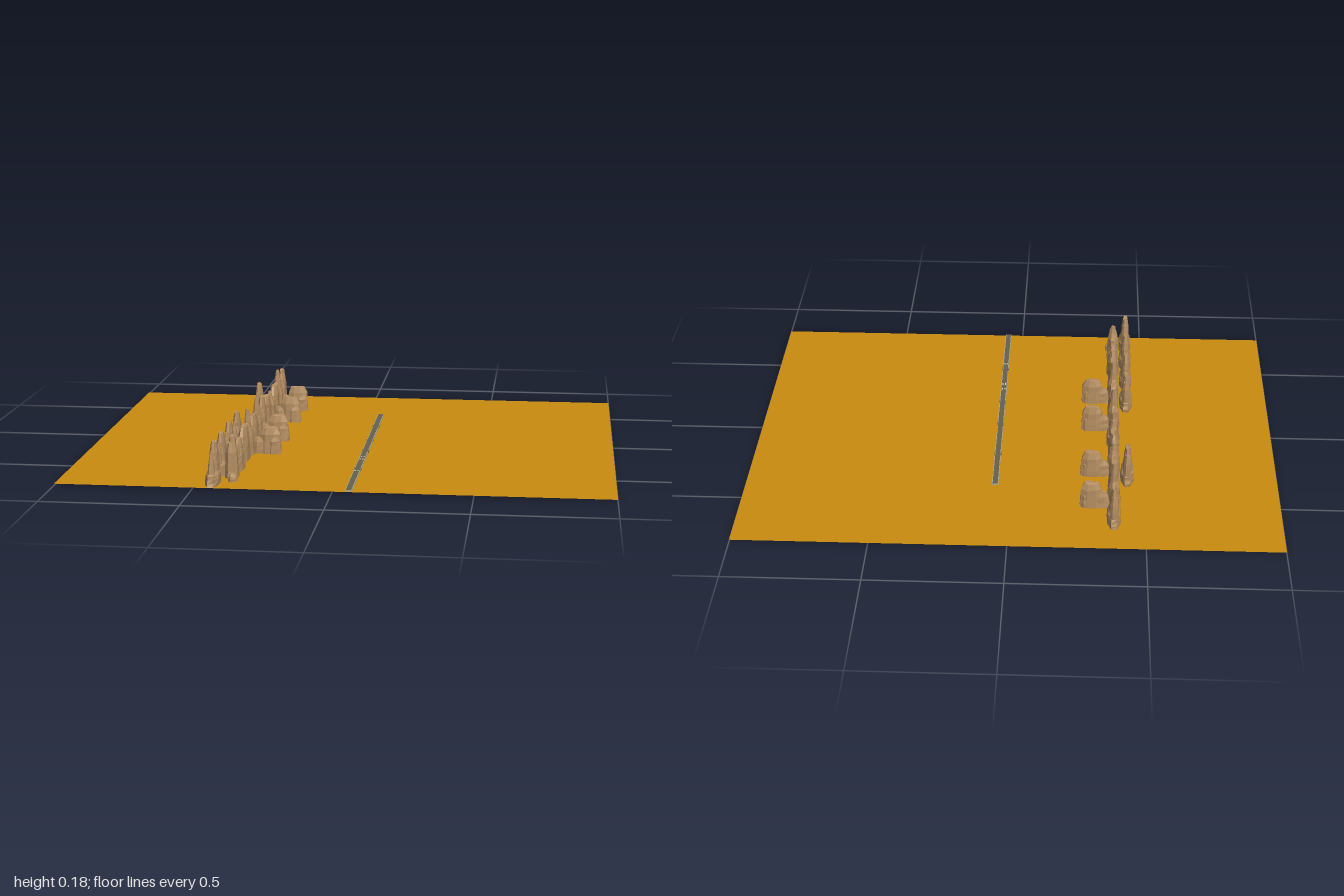
import * as THREE from 'three';

const sand = new THREE.MeshStandardMaterial({ color: 0xc98c10, side: THREE.DoubleSide });
const stone = new THREE.MeshStandardMaterial({ color: 0xb48e62, flatShading: true });
const paleConcrete = new THREE.MeshStandardMaterial({ color: 0xa9b29c });
const asphalt = new THREE.MeshStandardMaterial({ color: 0x66604f });
const white = new THREE.MeshStandardMaterial({ color: 0xdedccb });
sand.name = 'sand'; stone.name = 'stone'; paleConcrete.name = 'paleConcrete';
asphalt.name = 'asphalt'; white.name = 'white';

const GROUND = 0.007;

// repeatable noise in -0.5..0.5 that depends only on a position
function noise(x, y, z, seed) {
  const s = Math.sin(Math.round(x * 100) * 12.99 + Math.round(y * 100) * 78.23 +
    Math.round(z * 100) * 37.72 + seed * 9.17) * 43758.55;
  return s - Math.floor(s) - 0.5;
}

// one weathered pillar: chamfered box section, narrowing by its taper towards the top
function pillar(x, z, w, d, h, taper, seed, base = GROUND) {
  const geo = new THREE.CylinderGeometry(1, 1, 1, 8, 4);
  geo.rotateY(Math.PI / 8);
  const p = geo.attributes.position;
  for (let i = 0; i < p.count; i++) {
    const px = p.getX(i), pz = p.getZ(i), t = p.getY(i) + 0.5;
    const n = noise(px, t, pz, seed);
    const m = noise(pz, t + 2, px, seed);
    const shrink = (1 - (1 - taper) * t) * (t > 0.95 ? 0.72 : 1) * (1 + n * 0.12);
    const box = (v) => Math.sign(v) * Math.min(1, Math.abs(v) * 1.08);
    p.setXYZ(i, box(px) * w / 2 * shrink, t * h * (1 + (t > 0 ? m * 0.06 : 0)), box(pz) * d / 2 * shrink);
  }
  const mesh = new THREE.Mesh(geo, stone);
  mesh.position.set(x, base, z);
  mesh.name = 'rockPillar';
  return mesh;
}

// rock with a broad tower and a thin spire at its front end
function towerRock(x, z, seed) {
  const g = new THREE.Group();
  g.name = 'towerRock';
  g.add(pillar(x, z, 0.05, 0.142, 0.05, 0.88, seed),
    pillar(x, z - 0.01, 0.04, 0.1, 0.1, 0.72, seed + 1),
    pillar(x, z - 0.024, 0.034, 0.075, 0.148, 0.72, seed + 2),
    pillar(x, z - 0.045, 0.034, 0.04, 0.125, 0.75, seed + 3),
    pillar(x, z + 0.036, 0.036, 0.05, 0.122, 0.25, seed + 4));
  return g;
}

// long rock with a sloping mesa, a tall spire and a side spur
function mesaRock(x, z, seed, spire) {
  const g = new THREE.Group();
  g.name = 'mesaRock';
  g.add(pillar(x, z + 0.035, 0.044, 0.14, 0.127, 0.7, seed),
    pillar(x, z + 0.06, 0.038, 0.08, 0.1, 0.75, seed + 1),
    pillar(x, z - 0.05, 0.05, 0.09, 0.1, 0.75, seed + 2),
    pillar(x, z - 0.055, 0.04, 0.045, spire, 0.42, seed + 3),
    pillar(x, z - 0.025, 0.036, 0.04, spire * 0.72, 0.5, seed + 4));
  // spur reaching towards the road
  g.add(pillar(x + 0.045, z - 0.075, 0.06, 0.036, 0.06, 0.8, seed + 5),
    pillar(x + 0.083, z - 0.075, 0.085, 0.042, 0.1, 0.85, seed + 6),
    pillar(x + 0.1, z - 0.072, 0.05, 0.046, 0.065, 0.85, seed + 7));
  return g;
}

export function createModel() {
  const model = new THREE.Group();
  model.name = 'desertScene';

  // desert floor
  const floor = new THREE.Mesh(new THREE.PlaneGeometry(2, 1.57).rotateX(-Math.PI / 2), sand);
  floor.position.y = GROUND;
  floor.name = 'desertFloor';
  model.add(floor);

  // rock ridge
  const ridge = new THREE.Group();
  ridge.name = 'rockRidge';
  const inner = -0.384, outer = -0.435;
  [-0.595, -0.055].forEach((z, i) => ridge.add(towerRock(inner, z, 10 + i * 7)));
  [-0.31, 0.233, 0.403, 0.567, 0.71].forEach((z, i) => ridge.add(towerRock(outer, z, 30 + i * 7)));
  [[-0.435, 0.172], [-0.222, 0.13], [0.11, 0.172], [0.32, 0.172]].forEach(([z, spire], i) =>
    ridge.add(mesaRock(inner, z, 80 + i * 9, spire)));

  // low rocks at the front end, the last ones sunk through the floor
  ridge.add(pillar(inner, 0.5, 0.05, 0.14, 0.075, 0.8, 120),
    pillar(inner, 0.475, 0.04, 0.07, 0.11, 0.65, 121),
    pillar(inner, 0.53, 0.04, 0.06, 0.1, 0.6, 122),
    pillar(inner, 0.615, 0.048, 0.075, 0.135, 0.75, 123, 0),
    pillar(inner, 0.606, 0.034, 0.035, 0.158, 0.7, 124, 0),
    pillar(-0.37, 0.68, 0.035, 0.04, 0.035, 0.75, 125, 0));
  model.add(ridge);

  // road, climbing gently towards the back
  const road = new THREE.Group();
  road.name = 'road';
  const add = (name, w, h, d, x, y, z, material) => {
    const mesh = new THREE.Mesh(new THREE.BoxGeometry(w, h, d), material);
    mesh.position.set(x, y, z);
    mesh.name = name;
    road.add(mesh);
  };
  add('roadBed', 0.024, 0.006, 1.18, 0, 0, 0, paleConcrete);
  add('roadSurface', 0.019, 0.002, 1.18, 0, 0.0035, 0, asphalt);
  for (const z of [0.33, 0.16, 0.12]) {
    for (const x of [-0.005, 0.005]) add('roadMarking', 0.004, 0.001, 0.012, x, 0.0048, z, white);
  }
  for (const z of [0.29, 0.02, -0.15, -0.38]) {
    for (const s of [-1, 1]) add('roadBracket', 0.002, 0.007, 0.025, s * 0.012, 0, z, asphalt);
  }
  road.position.set(0.06, 0.0145, 0.19);
  road.rotation.x = 0.006;
  model.add(road);

  return model;
}
